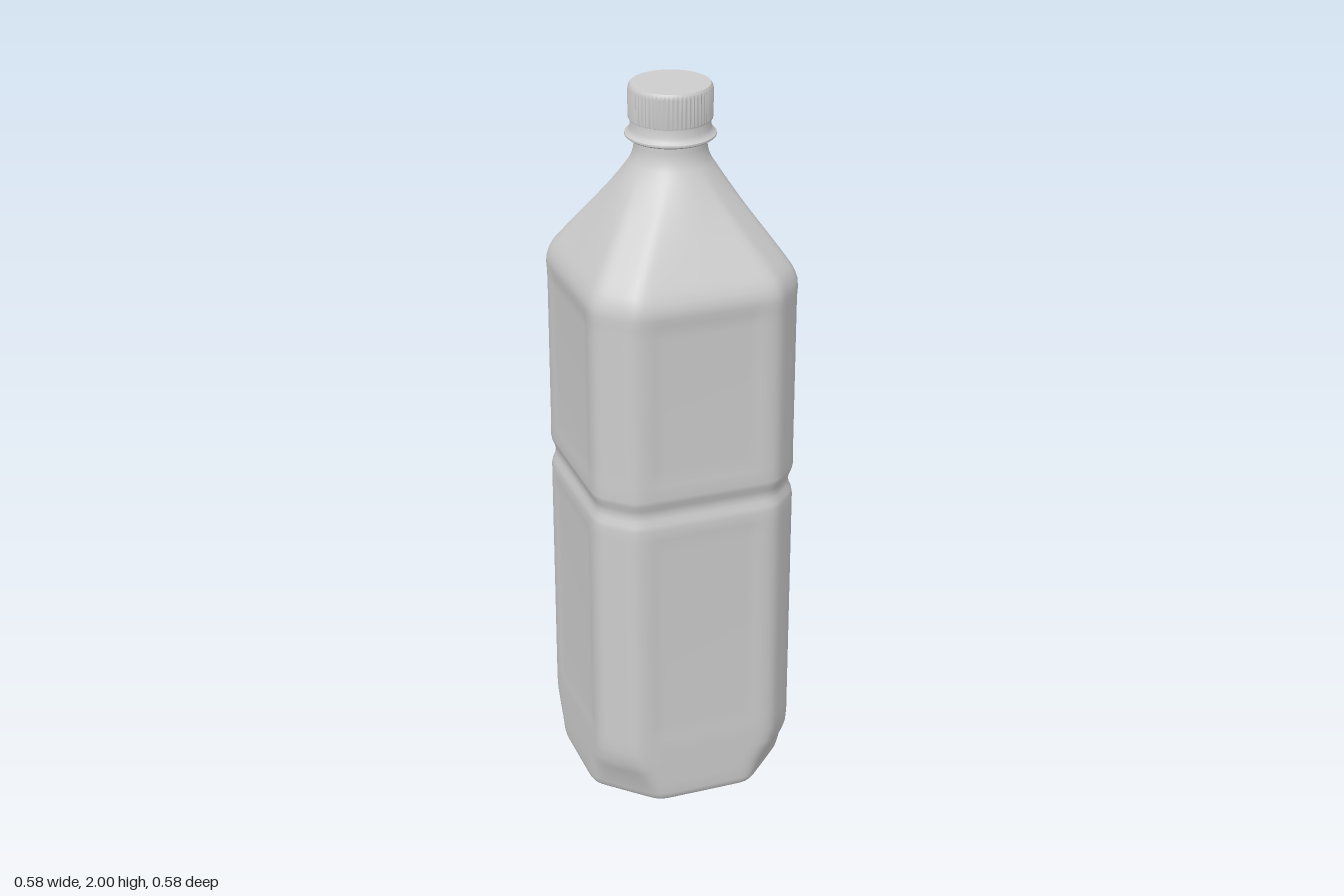
import * as THREE from 'three';
import { toCreasedNormals } from 'three/addons/utils/BufferGeometryUtils.js';

const { lerp, smoothstep } = THREE.MathUtils;

// Skin closed rings: radius(angle, row) and height(angle, row) give each point.
function loft(rows, segments, radius, height) {
  const positions = [], index = [];
  rows.forEach((row, i) => {
    for (let j = 0; j < segments; j++) {
      const a = (j / segments) * Math.PI * 2;
      const r = radius(a, row);
      positions.push(r * Math.sin(a), height(a, row), r * Math.cos(a));
      if (i === 0) continue;
      const k = (j + 1) % segments, lo = (i - 1) * segments, hi = i * segments;
      index.push(lo + j, lo + k, hi + j, lo + k, hi + k, hi + j);
    }
  });
  const geometry = new THREE.BufferGeometry();
  geometry.setAttribute('position', new THREE.Float32BufferAttribute(positions, 3));
  geometry.setIndex(index);
  geometry.computeVertexNormals();
  return geometry;
}

// Softly rounded square (half width h) with corners cut at distance d.
function chamferedSquare(a, h, d) {
  const p = 40, c = Math.abs(Math.cos(a)), s = Math.abs(Math.sin(a));
  const sum = (c / h) ** p + (s / h) ** p + ((c + s) / Math.SQRT2 / d) ** p;
  return sum ** (-1 / p);
}

function bodyRadius(a, { h, d, round, panel }) {
  const r = lerp(chamferedSquare(a, h, d), h, round);
  if (!panel) return r;
  // shallow recessed panel in the middle of each side
  const quarter = Math.PI / 2;
  const u = h * Math.abs(Math.tan(a - Math.round(a / quarter) * quarter));
  return r - panel * (1 - smoothstep(u, 0.13, 0.165));
}

export function createModel() {
  const model = new THREE.Group();
  const plastic = new THREE.MeshStandardMaterial({ color: 0xcccccc });
  plastic.name = 'pale grey plastic';
  const add = (name, geometry) => {
    const mesh = new THREE.Mesh(geometry, plastic);
    mesh.name = name;
    model.add(mesh);
    return mesh;
  };

  // Body: y, half width, corner distance, panel depth
  const body = [
    [0, 0.235, 0.25], [0, 0.262, 0.277], [0.004, 0.275, 0.288], [0.012, 0.281, 0.294],
    [0.025, 0.284, 0.298], [0.06, 0.285, 0.308], [0.1, 0.285, 0.326], [0.13, 0.285, 0.338],
    [0.17, 0.285, 0.343], [0.21, 0.285, 0.343], [0.25, 0.285, 0.343, 0.004],
    [0.5, 0.285, 0.343, 0.004], [0.8, 0.285, 0.343, 0.004], [0.84, 0.285, 0.343],
    [0.87, 0.285, 0.343], [0.885, 0.282, 0.34], [0.9, 0.276, 0.334], [0.915, 0.274, 0.332],
    [0.93, 0.277, 0.335], [0.945, 0.283, 0.341], [0.96, 0.286, 0.344],
    [1.0, 0.285, 0.343], [1.04, 0.285, 0.343, 0.004], [1.25, 0.285, 0.343, 0.004],
    [1.42, 0.285, 0.343, 0.004], [1.455, 0.286, 0.343, 0.002], [1.475, 0.288, 0.344],
    [1.495, 0.287, 0.342], [1.515, 0.281, 0.336], [1.535, 0.271, 0.326],
  ].map(([y, h, d, panel = 0]) => ({ y, h, d, round: 0, panel }));

  // Shoulder tapers from the cut square to the round neck
  for (let i = 1; i <= 12; i++) {
    const t = i / 12;
    body.push({
      y: lerp(1.535, 1.795, t), h: lerp(0.271, 0.108, t), d: lerp(0.326, 0.108, t),
      round: t * t, panel: 0,
    });
  }
  for (const [y, h] of [[1.81, 0.101], [1.825, 0.097], [1.84, 0.095], [1.87, 0.095]]) {
    body.push({ y, h, d: h, round: 1, panel: 0 });
  }
  add('bottleBody', loft(body, 160, bodyRadius, (a, row) => row.y));

  // Base: domed recess with radial flutes, blending out to the standing rim
  const base = [
    [0.001, 0.08, 0], [0.02, 0.077, 0.003], [0.05, 0.068, 0.007], [0.09, 0.052, 0.01],
    [0.13, 0.036, 0.011], [0.17, 0.02, 0.009], [0.2, 0.009, 0.005], [0.22, 0.002, 0.001],
  ].map(([h, y, flute]) => ({ h, y, flute, d: h, round: 1 }));
  base.push({ h: 0.235, d: 0.25, y: 0, flute: 0, round: 0 });
  add('flutedBase', loft(base, 160, bodyRadius,
    (a, row) => row.y + row.flute * Math.cos(a * 20)));

  // Neck flange and tamper ring under the cap
  const ring = [
    [0.09, 1.858], [0.114, 1.86], [0.119, 1.864], [0.119, 1.869], [0.111, 1.874],
    [0.106, 1.885], [0.105, 1.908], [0.09, 1.91],
  ].map(([r, y]) => new THREE.Vector2(r, y));
  add('neckRing', toCreasedNormals(new THREE.LatheGeometry(ring, 64), 0.7));

  // Cap with fine grip ribs and a small bevel at the top
  const cap = [
    [0.095, 1.906, 0], [0.108, 1.907, 0], [0.109, 1.912, 0.0015], [0.109, 1.985, 0.0015],
    [0.108, 1.994, 0.0005], [0.104, 2, 0], [0.001, 2, 0],
  ].map(([r, y, rib]) => ({ r, y, rib }));
  add('cap', toCreasedNormals(
    loft(cap, 240, (a, row) => row.r + row.rib * Math.cos(a * 60), (a, row) => row.y), 0.6));

  return model;
}
